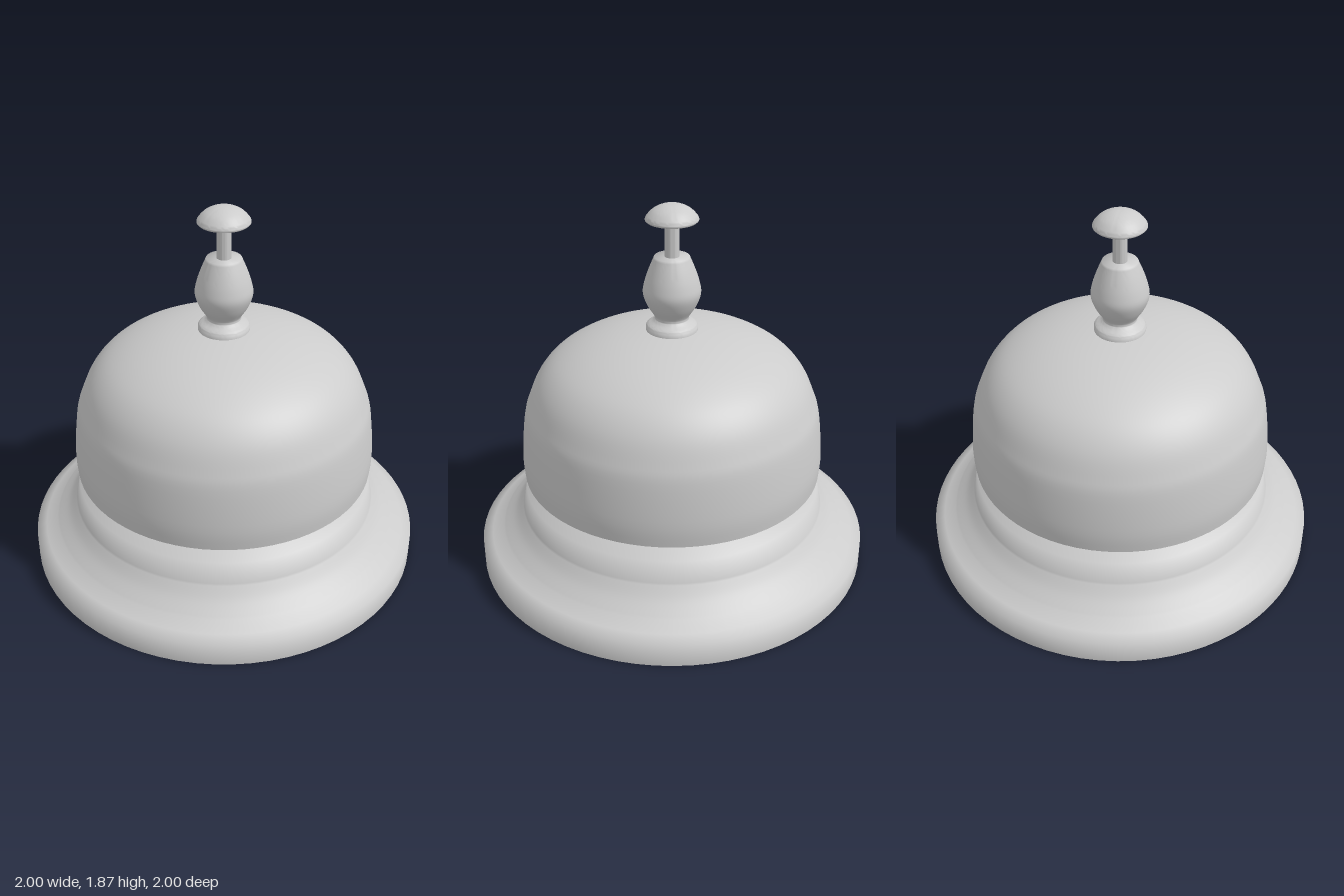
import * as THREE from 'three';
import { toCreasedNormals } from 'three/addons/utils/BufferGeometryUtils.js';

const SEGMENTS = 72;
const CREASE = 1.9; // wide enough to blend shading over the rims
const material = new THREE.MeshStandardMaterial({ color: 0xcccccc, side: THREE.DoubleSide });

const toPoints = (pairs) => pairs.map(([r, y]) => new THREE.Vector2(r, y));

// Smooth curve through a few profile points
const smooth = (pairs, divisions) => new THREE.SplineCurve(toPoints(pairs))
  .getPoints(divisions)
  .map((p) => [Math.max(p.x, 0), p.y]);

// Turned part from a profile of [radius, height]
function turned(name, profile) {
  const lathe = new THREE.LatheGeometry(toPoints(profile), SEGMENTS);
  const mesh = new THREE.Mesh(toCreasedNormals(lathe, CREASE), material);
  mesh.name = name;
  return mesh;
}

export function createModel() {
  const group = new THREE.Group();
  group.name = 'deskBell';

  // Flared base: upright rim, concave flare and flat top
  group.add(turned('base', [
    [1, 0],
    [1, 0.12],
    [0.95, 0.142],
    ...smooth([[0.89, 0.178], [0.825, 0.235], [0.777, 0.295]], 10),
    [0.757, 0.405],
    [0.265, 0.405],
  ]));

  // Shallow conical underside, and the tapered hollow at its centre
  group.add(turned('underside', [[0.37, 0.06], [1, 0]]));
  group.add(turned('centreHollow', [[0.265, 0.4], [0.33, 0.2], [0.365, 0.08], [0.37, 0.06]]));
  group.add(turned('hollowCap', [[0, 0.4], [0.265, 0.4]]));

  // Central post running up inside the bell
  group.add(turned('post', [[0.265, 0.4], [0.265, 1.2]]));

  // Thin open bell
  group.add(turned('bell', smooth([
    [0.758, 0.485], [0.763, 0.6], [0.742, 0.8], [0.715, 0.89], [0.67, 0.99],
    [0.605, 1.07], [0.52, 1.13], [0.41, 1.18], [0.28, 1.218], [0.13, 1.242], [0, 1.248],
  ], 44)));

  // Collar and vase-shaped plunger housing
  group.add(turned('plungerHousing', [
    [0.127, 1.235],
    ...smooth([[0.127, 1.262], [0.118, 1.274], [0.092, 1.292], [0.084, 1.312], [0.118, 1.368],
      [0.14, 1.43], [0.133, 1.485], [0.112, 1.55], [0.085, 1.615]], 36),
    [0, 1.615],
  ]));

  // Plunger rod
  group.add(turned('plungerRod', [[0.035, 1.6], [0.035, 1.8]]));

  // Domed push button
  group.add(turned('pushButton', [
    [0, 1.788],
    [0.12, 1.788],
    ...smooth([[0.127, 1.795], [0.122, 1.81], [0.09, 1.843], [0.045, 1.864], [0, 1.87]], 16),
  ]));

  return group;
}
